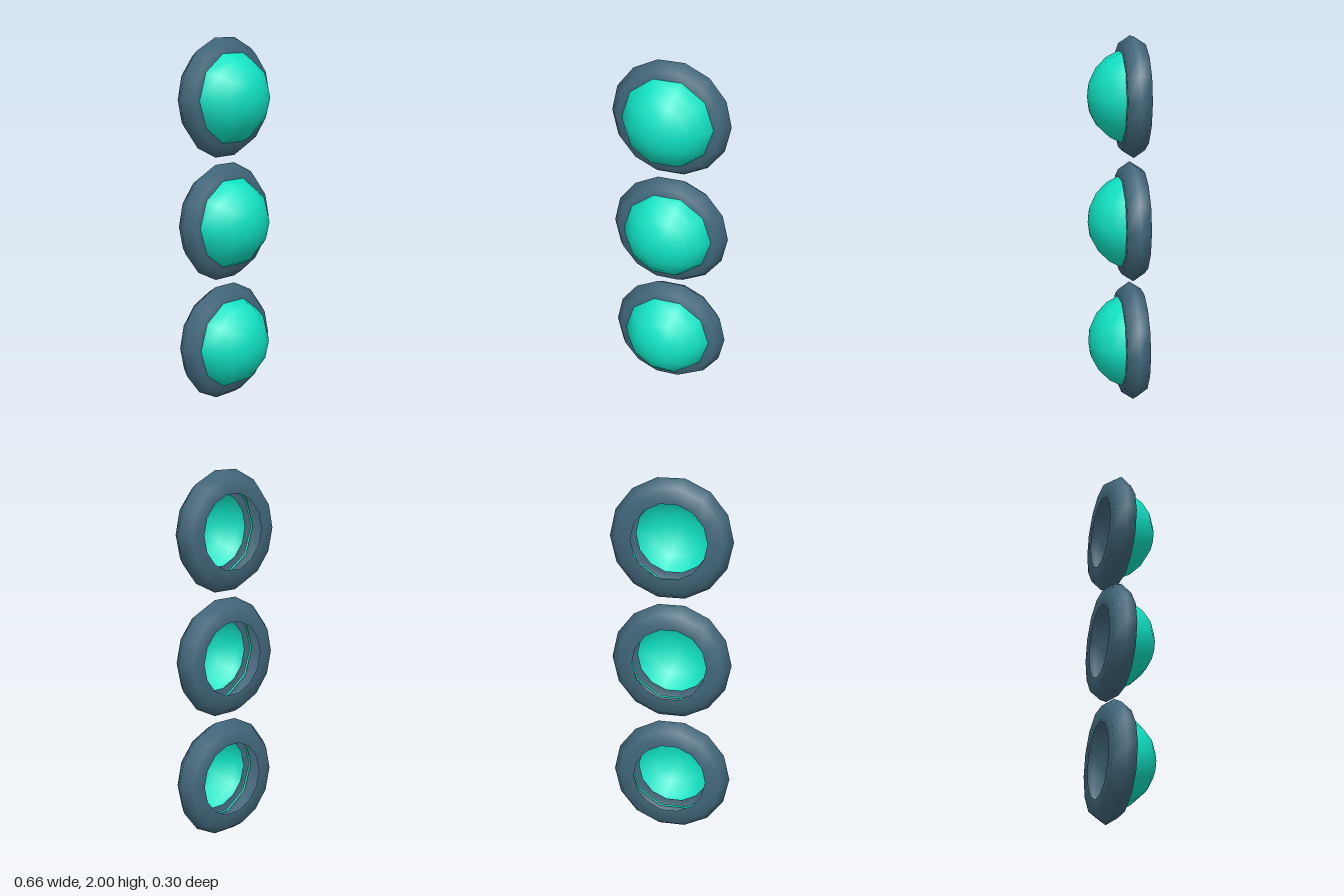
import * as THREE from 'three';

const RING_Z = -0.09, DOME_Z = -0.118;

export function createModel() {
  const model = new THREE.Group();
  model.name = 'lampColumn';

  const slate = new THREE.MeshStandardMaterial({ color: 0x42687c, side: THREE.DoubleSide });
  slate.name = 'slate blue';
  const teal = new THREE.MeshStandardMaterial({ color: 0x10e3c4, side: THREE.DoubleSide });
  teal.name = 'bright teal';

  // Bezel: hollow channel, open towards the hole, turned to face +z
  const profile = [[0.203, -0.064], [0.286, -0.064], [0.328, 0], [0.286, 0.064], [0.203, 0.064]]
    .map(([r, y]) => new THREE.Vector2(r, y));
  const ringGeometry = new THREE.LatheGeometry(profile, 14, Math.PI / 2).rotateX(Math.PI / 2);

  // Lens: open cap of a sphere, its edge just behind the front of the bezel
  const domeGeometry = new THREE.SphereGeometry(0.268, 10, 4, 0, Math.PI * 2, 0, Math.PI * 0.4)
    .rotateX(Math.PI / 2);

  // Three identical lamps, stacked
  ['lowerLamp', 'middleLamp', 'upperLamp'].forEach((name, i) => {
    const lamp = new THREE.Group();
    lamp.name = name;
    lamp.position.y = 0.32 + i * 0.68;

    const ring = new THREE.Mesh(ringGeometry, slate);
    ring.name = 'bezel';
    ring.position.z = RING_Z;

    const dome = new THREE.Mesh(domeGeometry, teal);
    dome.name = 'lens';
    dome.position.z = DOME_Z;

    lamp.add(ring, dome);
    model.add(lamp);
  });
  return model;
}
